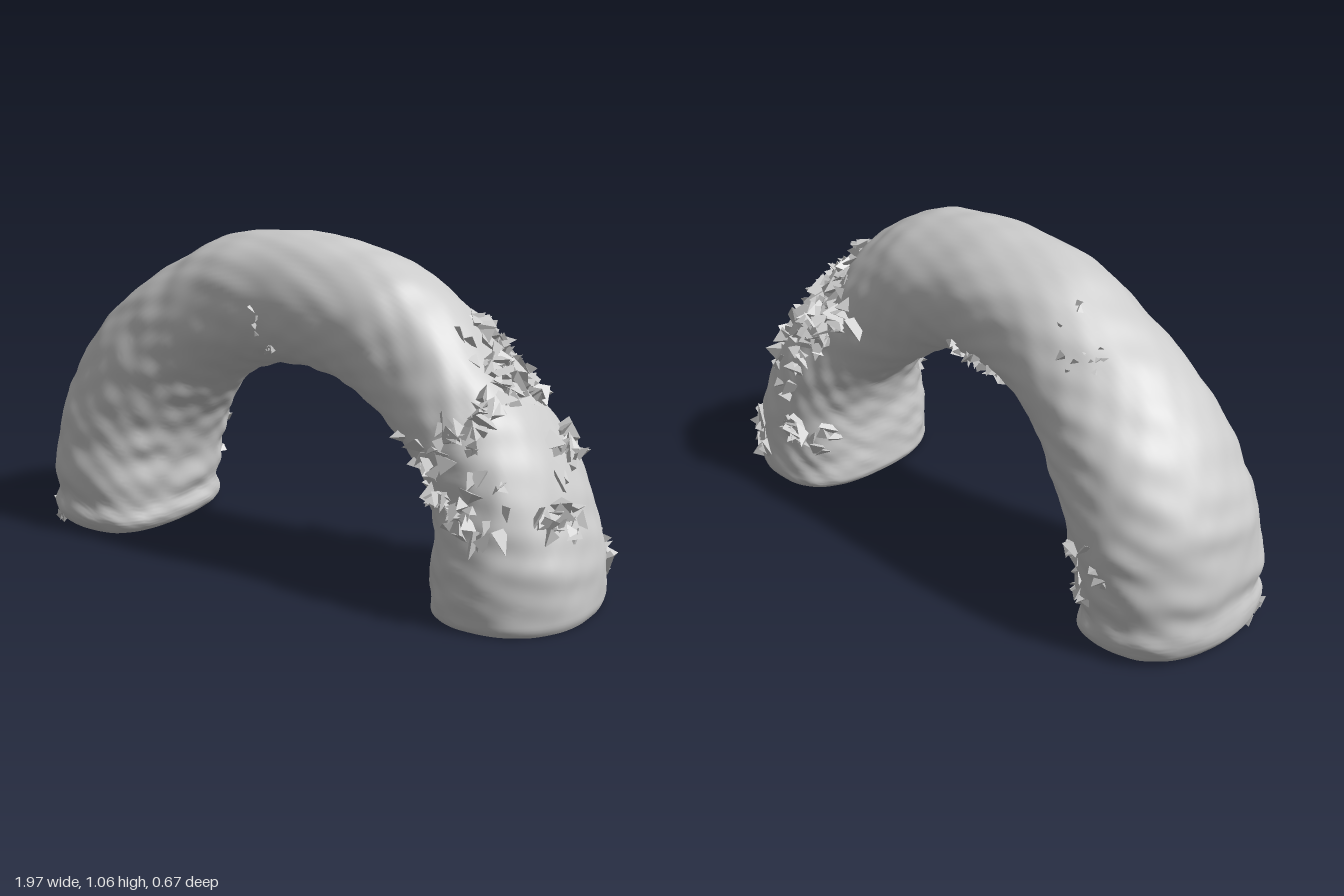
import * as THREE from 'three';
import { mergeGeometries, toCreasedNormals } from 'three/addons/utils/BufferGeometryUtils.js';

// Stations along the arch: outer x, y, inner x, y, back z, front z
const STATIONS = [
  [-0.985, 0.04, -0.55, 0.03, -0.295, 0.305],
  [-0.99, 0.18, -0.54, 0.13, -0.30, 0.315],
  [-0.98, 0.36, -0.515, 0.27, -0.31, 0.305],
  [-0.92, 0.54, -0.465, 0.40, -0.31, 0.29],
  [-0.77, 0.75, -0.38, 0.51, -0.28, 0.27],
  [-0.56, 0.915, -0.28, 0.59, -0.235, 0.255],
  [-0.30, 1.05, -0.15, 0.645, -0.20, 0.245],
  [0, 1.085, 0, 0.66, -0.185, 0.25],
  [0.28, 1.05, 0.14, 0.64, -0.19, 0.255],
  [0.48, 0.945, 0.26, 0.575, -0.20, 0.25],
  [0.65, 0.765, 0.38, 0.49, -0.22, 0.26],
  [0.81, 0.585, 0.47, 0.40, -0.25, 0.28],
  [0.92, 0.38, 0.515, 0.28, -0.27, 0.295],
  [0.975, 0.20, 0.51, 0.15, -0.28, 0.31],
  [0.98, 0.025, 0.51, 0.025, -0.29, 0.31],
];
const rail = (f) => new THREE.CatmullRomCurve3(STATIONS.map(f), false, 'catmullrom', 0.5);
const outerRail = rail((s) => new THREE.Vector3(s[0], s[1], s[4]));
const innerRail = rail((s) => new THREE.Vector3(s[2], s[3], s[5]));

// Lumpy surface of the arch: t runs along it, a runs round the section
function surface(t, a) {
  const o = outerRail.getPoint(t), n = innerRail.getPoint(t);
  const c = Math.cos(a), s = Math.sin(a);
  const end = Math.min(t, 1 - t);
  const leg = THREE.MathUtils.smoothstep(0.42 - end, 0, 0.4);
  // Oval at the crown, slightly squared towards the feet
  const squared = (v) => Math.sign(v) * Math.pow(Math.abs(v), 1 - 0.16 * leg);
  const ridge = 0.025 * Math.sin(t * 88 - 1.2 + 0.5 * Math.sin(2 * a)) * THREE.MathUtils.clamp(1.4 - t / 0.14, 0, 1);
  const lumps = 0.011 * Math.sin(29 * t + 3 * c) * Math.sin(3 * a + 11 * t)
    + 0.012 * Math.sin(53 * t + 4 * s + 1) * Math.cos(4 * a - 23 * t)
    + 0.010 * Math.sin(90 * t + 7 * c) * Math.cos(7 * a + 31 * t)
    + 0.008 * Math.sin(140 * t - 9 * s) * Math.cos(11 * a + 17 * t);
  const round = 0.05 * Math.pow(Math.max(0, 1 - end / 0.014), 2);
  const k = 1 + ridge + lumps * Math.min(1, 0.4 + end * 12) - round;
  // The legs are widest a little towards the opening
  const p = k * (squared(c) - 0.12 * leg * s * s) / 2;
  // The crown leans slightly forwards
  const q = k * (squared(s) + 0.1 * (1 - leg) * c * Math.abs(c)) / 2;
  return new THREE.Vector3(
    (o.x + n.x) / 2 + (o.x - n.x) * p,
    (o.y + n.y) / 2 + (o.y - n.y) * p,
    (o.z + n.z) / 2 + (n.z - o.z) * q,
  );
}

// Closed skin made of rings, with a fan over each foot
function archGeometry(rings = 240, sides = 80) {
  const pos = [], index = [];
  for (let i = 0; i <= rings; i++) {
    for (let j = 0; j < sides; j++) pos.push(...surface(i / rings, (j / sides) * Math.PI * 2).toArray());
  }
  const id = (i, j) => i * sides + (j % sides);
  for (let i = 0; i < rings; i++) {
    for (let j = 0; j < sides; j++) {
      index.push(id(i, j), id(i, j + 1), id(i + 1, j), id(i, j + 1), id(i + 1, j + 1), id(i + 1, j));
    }
  }
  for (const i of [0, rings]) {
    const mid = outerRail.getPoint(i / rings).lerp(innerRail.getPoint(i / rings), 0.5);
    const centre = pos.length / 3;
    pos.push(...mid.toArray());
    for (let j = 0; j < sides; j++) {
      if (i === 0) index.push(centre, id(i, j + 1), id(i, j));
      else index.push(centre, id(i, j), id(i, j + 1));
    }
  }
  const g = new THREE.BufferGeometry();
  g.setAttribute('position', new THREE.Float32BufferAttribute(pos, 3));
  g.setIndex(index);
  return toCreasedNormals(g, 0.6);
}

function seeded(seed) {
  return () => {
    seed = (seed * 16807) % 2147483647;
    return seed / 2147483647;
  };
}

// Angular splinters scattered over one patch of the surface
function shardGeometry(t0, t1, a0, a1, count, size, rand) {
  const list = [];
  for (let i = 0; i < count; i++) {
    const t = t0 + (t1 - t0) * rand(), a = a0 + (a1 - a0) * rand();
    const p = surface(t, a);
    const r = size * (0.6 + 0.6 * rand());
    const g = new THREE.TetrahedronGeometry(r);
    g.scale(0.6 + 0.5 * rand(), 0.7 + 0.6 * rand(), 0.3 + 0.4 * rand());
    g.rotateX(rand() * 6.28).rotateY(rand() * 6.28).rotateZ(rand() * 6.28);
    g.translate(p.x, Math.max(p.y, r), p.z);
    list.push(g);
  }
  return mergeGeometries(list);
}

// Name, range along the arch, range round it, count, size
const PATCHES = [
  ['upperShards', 0.67, 0.755, -1.7, 0.3, 105, 0.058],
  ['upperFrontShards', 0.73, 0.76, 0.4, 1.3, 16, 0.05],
  ['frontShards', 0.75, 0.87, 0.9, 1.8, 38, 0.05],
  ['outerShards', 0.79, 0.83, -0.5, 0.1, 14, 0.055],
  ['lowerOuterShards', 0.85, 0.89, 0.0, 0.6, 18, 0.055],
  ['backShards', 0.75, 0.84, -1.6, -0.8, 20, 0.05],
  ['innerFrontShards', 0.71, 0.82, 1.7, 2.5, 14, 0.045],
  ['backFootShards', 0.92, 0.985, -1.3, -0.5, 20, 0.05],
  ['innerFootShards', 0.87, 0.92, -2.5, -1.6, 18, 0.05],
  ['undersideShards', 0.44, 0.52, -2.7, -2.1, 14, 0.045],
  ['farLegShards', 0.09, 0.19, -2.2, -1.5, 20, 0.036],
  ['farFootShards', 0.0, 0.02, 0.3, 1.2, 6, 0.035],
  ['crackChips', 0.47, 0.49, 1.5, 2.3, 10, 0.02],
  ['shoulderChips', 0.34, 0.4, -1.0, -0.4, 12, 0.02],
];

export function createModel() {
  const group = new THREE.Group();
  group.name = 'stoneArch';

  const arch = new THREE.Mesh(archGeometry(), new THREE.MeshStandardMaterial({ color: 0xcccccc }));
  arch.name = 'archBody';
  group.add(arch);

  const shardMaterial = new THREE.MeshStandardMaterial({ color: 0xcccccc, flatShading: true });
  const rand = seeded(4217);
  for (const [name, ...range] of PATCHES) {
    const shards = new THREE.Mesh(shardGeometry(...range, rand), shardMaterial);
    shards.name = name;
    group.add(shards);
  }
  return group;
}
